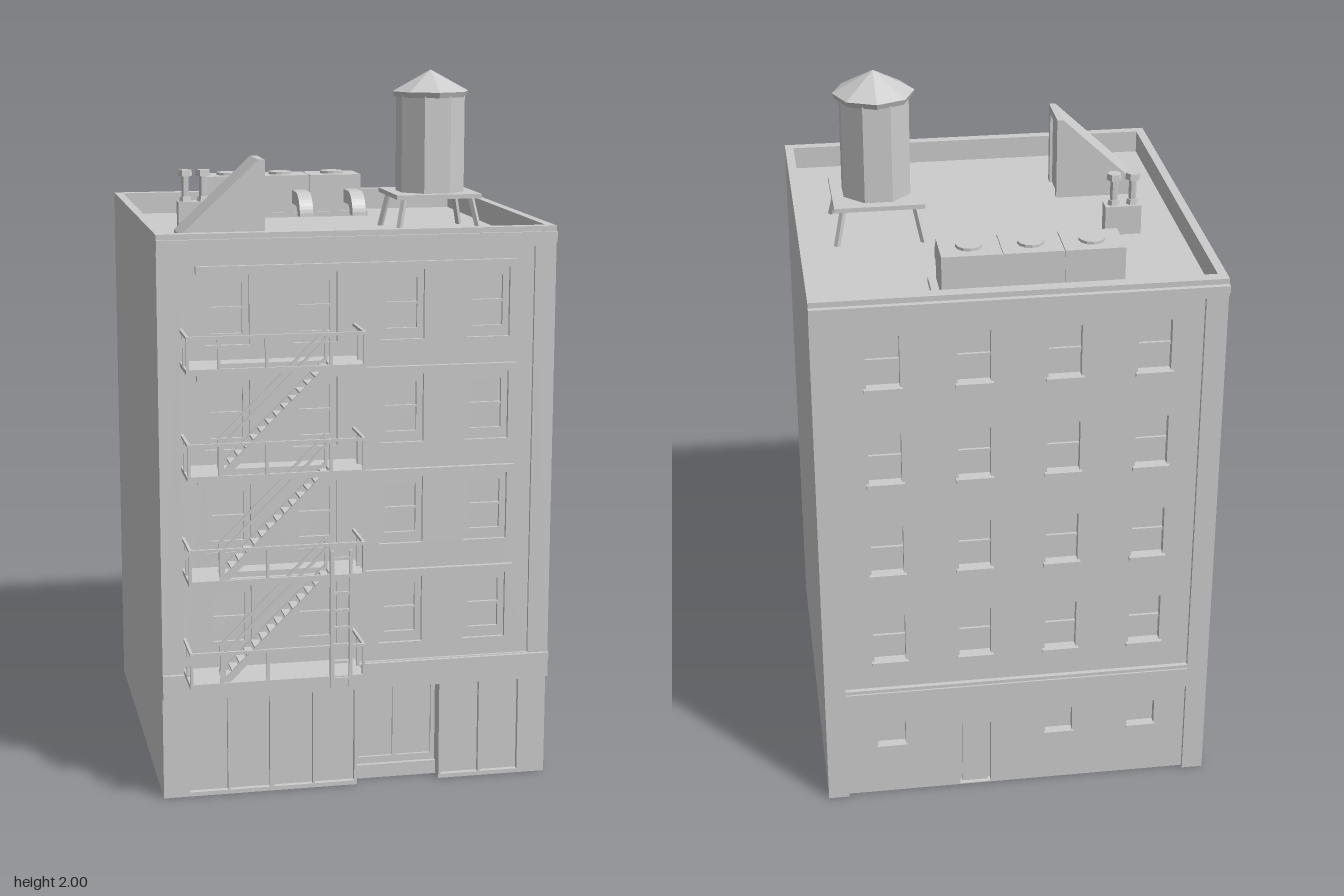
import * as THREE from 'three';

const mat = new THREE.MeshStandardMaterial({ color: 0xcccccc, flatShading: true });
const COLS = [-0.365, -0.122, 0.122, 0.365];
const ROWS = [0.52, 0.81, 1.1, 1.39]; // window centre heights
const ROOF = 1.53;

function add(parent, name, geo) {
  const m = new THREE.Mesh(geo, mat);
  m.name = name;
  parent.add(m);
  return m;
}
function box(parent, name, x0, x1, y0, y1, z0, z1) {
  const m = add(parent, name, new THREE.BoxGeometry(x1 - x0, y1 - y0, z1 - z0));
  m.position.set((x0 + x1) / 2, (y0 + y1) / 2, (z0 + z1) / 2);
  return m;
}
function group(parent, name) {
  const g = new THREE.Group();
  g.name = name;
  parent.add(g);
  return g;
}
// Square bar between two points
function bar(parent, name, a, b, w = 0.008, d = w) {
  const p = new THREE.Vector3(...a), q = new THREE.Vector3(...b);
  const m = add(parent, name, new THREE.BoxGeometry(w, d, p.distanceTo(q)));
  m.position.copy(p).add(q).multiplyScalar(0.5);
  m.lookAt(q);
  return m;
}
// Upright slab with rectangular holes [x0, x1, y0, y1]
function wall(parent, name, x0, x1, y0, y1, z0, z1, holes) {
  const rect = (P, [a, b, c, d]) => {
    const p = new P();
    p.moveTo(a, c).lineTo(b, c).lineTo(b, d).lineTo(a, d).closePath();
    return p;
  };
  const s = rect(THREE.Shape, [x0, x1, y0, y1]);
  s.holes = holes.map((h) => rect(THREE.Path, h));
  const m = add(parent, name, new THREE.ExtrudeGeometry(s, { depth: z1 - z0, bevelEnabled: false }));
  m.position.z = z0;
  return m;
}
function cyl(parent, name, rt, rb, x, y0, y1, z, n = 8, turn = 0) {
  const m = add(parent, name, new THREE.CylinderGeometry(rt, rb, y1 - y0, n));
  m.position.set(x, (y0 + y1) / 2, z);
  m.rotation.y = turn;
  return m;
}

function buildBody(root) {
  const g = group(root, 'building');
  box(g, 'core', -0.555, 0.555, 0.295, ROOF, -0.6, 0.475);
  // Ground storey with a notch for the entrance
  const plan = new THREE.Shape([[-0.555, -0.475], [0, -0.475], [0, -0.43], [0.24, -0.43], [0.24, -0.475],
    [0.555, -0.475], [0.555, 0.6], [-0.555, 0.6]].map((p) => new THREE.Vector2(...p)));
  add(g, 'groundStorey', new THREE.ExtrudeGeometry(plan, { depth: 0.295, bevelEnabled: false })).rotation.x = -Math.PI / 2;
  for (const s of [-1, 1]) box(g, 'sideParapet', s * 0.5425 - 0.0125, s * 0.5425 + 0.0125, ROOF, 1.595, -0.6, 0.475);

  // Front and back frames around sunken window panels
  const openings = (hw, dn, up) => ROWS.flatMap((y) => COLS.map((x) => [x - hw, x + hw, y - dn, y + up]));
  const panel = [-0.495, 0.495, 0.37, 1.54];
  wall(g, 'frontFrame', -0.555, 0.555, 0.295, 1.595, 0.475, 0.505, [panel]);
  wall(g, 'frontPanel', ...panel, 0.475, 0.496, openings(0.062, 0.1, 0.095));
  wall(g, 'backFrame', -0.555, 0.555, 0.295, 1.595, -0.635, -0.6, [panel]);
  wall(g, 'backPanel', ...panel, -0.622, -0.6, openings(0.045, 0.06, 0.09));
  for (const y of ROWS) {
    box(g, 'lintelBand', -0.45, 0.445, y + 0.095, y + 0.117, 0.49, 0.51);
    for (const x of COLS) {
      wall(g, 'sashFrame', x - 0.062, x + 0.062, y - 0.1, y + 0.095, 0.474, 0.485,
        [[x - 0.044, x + 0.044, y - 0.07, y - 0.003], [x - 0.044, x + 0.044, y + 0.003, y + 0.07]]);
      box(g, 'backSill', x - 0.052, x + 0.052, y - 0.072, y - 0.06, -0.634, -0.6);
      box(g, 'backSashBar', x - 0.045, x + 0.045, y + 0.01, y + 0.018, -0.608, -0.6);
    }
  }

  // Cornices and belt courses
  for (const [name, z0, z1, s] of [['frontCornice', 0.5, 0.515, 1], ['backCornice', -0.65, -0.63, -1]]) {
    box(g, name, -0.555, 0.555, 1.56, 1.58, z0, z1);
    box(g, name + 'Lower', -0.555, 0.555, 1.548, 1.56, s > 0 ? 0.5 : -0.641, s > 0 ? 0.51 : -0.63);
  }
  box(g, 'signBand', -0.555, 0.555, 0.295, 0.352, 0.49, 0.511);
  box(g, 'signMoulding', -0.555, 0.555, 0.352, 0.368, 0.49, 0.516);
  box(g, 'backLedge', -0.495, 0.495, 0.345, 0.36, -0.64, -0.63);

  // Shopfront
  const shop = (a, b) => [a, b, 0.012, 0.285];
  wall(g, 'shopfrontRight', -0.555, 0, 0, 0.295, 0.475, 0.49,
    [shop(-0.482, -0.372), shop(-0.366, -0.252), shop(-0.24, -0.128), shop(-0.122, -0.008)]);
  wall(g, 'shopfrontLeft', 0.24, 0.555, 0, 0.295, 0.475, 0.49, [shop(0.246, 0.357), shop(0.363, 0.474)]);
  box(g, 'entranceLintel', 0, 0.24, 0.285, 0.295, 0.43, 0.49);
  box(g, 'entranceStep', 0, 0.24, 0, 0.04, 0.43, 0.45);
  wall(g, 'entranceDoors', 0, 0.24, 0.04, 0.285, 0.43, 0.438, [[0.012, 0.115, 0.06, 0.272], [0.125, 0.228, 0.06, 0.272]]);

  // Rear ground storey
  for (const s of [-1, 1]) box(g, 'backPier', s * 0.525 - 0.03, s * 0.525 + 0.03, 0, 0.295, -0.635, -0.6);
  const small = [0.365, -0.122, -0.365];
  wall(g, 'backGroundWall', -0.495, 0.495, 0, 0.295, -0.622, -0.6,
    [...small.map((x) => [x - 0.04, x + 0.04, 0.165, 0.245]), [0.077, 0.167, 0.003, 0.215]]);
  for (const x of small) box(g, 'backSmallSill', x - 0.044, x + 0.044, 0.157, 0.165, -0.628, -0.6);
  box(g, 'backDoor', 0.085, 0.159, 0, 0.207, -0.61, -0.6);
}

function buildFireEscape(root) {
  const g = group(root, 'fireEscape');
  const L = -0.491, R = -0.014, Z = 0.636, SL = -0.4, SR = -0.105;
  const floors = [0.38, 0.67, 0.96, 1.25];
  floors.forEach((y, i) => {
    const f = group(g, 'landing');
    // Floor, open over the flight below
    box(f, 'floorStrip', -0.495, -0.01, y - 0.012, y, 0.49, i ? 0.555 : 0.64);
    if (i) {
      box(f, 'floorRightEnd', -0.495, SL, y - 0.012, y, 0.555, 0.64);
      box(f, 'floorLeftEnd', SR, -0.01, y - 0.012, y, 0.555, 0.64);
    }
    bar(f, 'floorEdge', [L, y - 0.006, Z], [R, y - 0.006, Z], 0.008, 0.016);
    // Railings
    const t = y + 0.086;
    bar(f, 'frontRail', [L, t, Z], [R, t, Z]);
    for (const x of [L, R]) {
      bar(f, 'endRail', [x, t, 0.49], [x, t, Z]);
      bar(f, 'endPost', [x, y, 0.56], [x, t, 0.56]);
    }
    for (const x of [L, SL - 0.008, -0.28, SR, R]) bar(f, 'post', [x, y, Z], [x, t, Z]);
    // Flight up to the next landing
    if (i === 3) return;
    for (const z of [0.56, 0.632]) {
      bar(f, 'stringer', [SL, y, z], [SR, y + 0.29, z], 0.007, 0.018);
      bar(f, 'handrail', [SL, y + 0.085, z], [SR, y + 0.375, z], 0.007);
      for (const [x, h] of [[SL, 0], [SR, 0.29]]) bar(f, 'handrailPost', [x, y + h, z], [x, y + h + 0.085, z], 0.007);
    }
    for (let k = 0; k < 14; k++) {
      const u = (k + 0.5) / 14, x = SL + (SR - SL) * u, h = y + 0.29 * u;
      box(f, 'tread', x - 0.011, x + 0.011, h - 0.003, h + 0.003, 0.56, 0.632);
    }
  });
  // Drop ladder
  for (const x of [-0.103, -0.052]) bar(g, 'ladderSide', [x, 0.35, 0.643], [x, 0.74, 0.643], 0.009);
  for (let k = 0; k < 8; k++) bar(g, 'ladderRung', [-0.103, 0.375 + k * 0.049, 0.643], [-0.052, 0.375 + k * 0.049, 0.643], 0.007);
}

function buildRoof(root) {
  // Water tank on splayed legs
  const t = group(root, 'waterTank');
  const cx = 0.322, cz = -0.015;
  box(t, 'tankPlatform', cx - 0.127, cx + 0.127, 1.632, 1.645, cz - 0.125, cz + 0.125);
  for (const sx of [-1, 1]) for (const sz of [-1, 1])
    bar(t, 'tankLeg', [cx + sx * 0.122, ROOF, cz + sz * 0.12], [cx + sx * 0.1, 1.635, cz + sz * 0.1], 0.013);
  cyl(t, 'tankBarrel', 0.102, 0.102, cx, 1.645, 1.93, cz, 8, Math.PI / 8);
  cyl(t, 'tankEave', 0.115, 0.108, cx, 1.922, 1.938, cz);
  cyl(t, 'tankRoof', 0, 0.115, cx, 1.938, 2, cz);

  // Sloped stair bulkhead with a sunken doorway
  const b = group(root, 'stairBulkhead');
  const s = new THREE.Shape([[-0.46, ROOF], [-0.23, ROOF], [-0.23, 1.77], [-0.24, 1.77], [-0.46, 1.565]].map((p) => new THREE.Vector2(...p)));
  add(b, 'bulkheadBody', new THREE.ExtrudeGeometry(s, { depth: 0.145, bevelEnabled: false })).position.z = 0.135;
  box(b, 'doorJamb', -0.24, -0.222, ROOF, 1.77, 0.135, 0.16);
  box(b, 'doorJamb', -0.24, -0.222, ROOF, 1.77, 0.258, 0.28);
  box(b, 'doorHead', -0.24, -0.222, 1.745, 1.77, 0.16, 0.258);

  // Flue stack
  const c = group(root, 'flueStack');
  box(c, 'stackBase', -0.415, -0.312, ROOF, 1.615, -0.16, -0.115);
  for (const x of [-0.392, -0.339]) {
    cyl(c, 'flue', 0.011, 0.011, x, 1.615, 1.695, -0.138, 6, Math.PI / 6);
    cyl(c, 'flueCollar', 0.015, 0.018, x, 1.615, 1.63, -0.138, 6, Math.PI / 6);
    cyl(c, 'flueCap', 0.02, 0.022, x, 1.69, 1.708, -0.138, 6, Math.PI / 6);
  }

  // Air handling units with downturned ducts
  const a = group(root, 'airUnits');
  box(a, 'unitBase', -0.315, 0.22, ROOF, 1.546, -0.55, -0.405);
  const duct = new THREE.Shape();
  duct.moveTo(0.41, 1.615).lineTo(0.345, 1.615);
  duct.absarc(0.345, 1.545, 0.07, Math.PI / 2, Math.PI, false);
  duct.lineTo(0.317, 1.545);
  duct.absarc(0.345, 1.545, 0.028, Math.PI, Math.PI / 2, true);
  duct.lineTo(0.41, 1.573);
  [-0.213, -0.048, 0.117].forEach((x, i) => {
    box(a, 'unit', x - 0.081, x + 0.081, 1.546, 1.66, -0.542, -0.412);
    cyl(a, 'fan', 0.036, 0.036, x, 1.66, 1.668, -0.477, 12);
    const m = add(a, 'duct', new THREE.ExtrudeGeometry(duct, { depth: 0.042, bevelEnabled: false, curveSegments: 5 }));
    m.rotation.y = Math.PI / 2; // profile runs along -z
    m.position.x = (i - 1) * 0.165 - 0.021;
  });
  box(a, 'unitCore', -0.29, 0.195, 1.546, 1.655, -0.538, -0.416);
}

export function createModel() {
  const root = new THREE.Group();
  root.name = 'apartmentBuilding';
  buildBody(root);
  buildFireEscape(root);
  buildRoof(root);
  return root;
}
